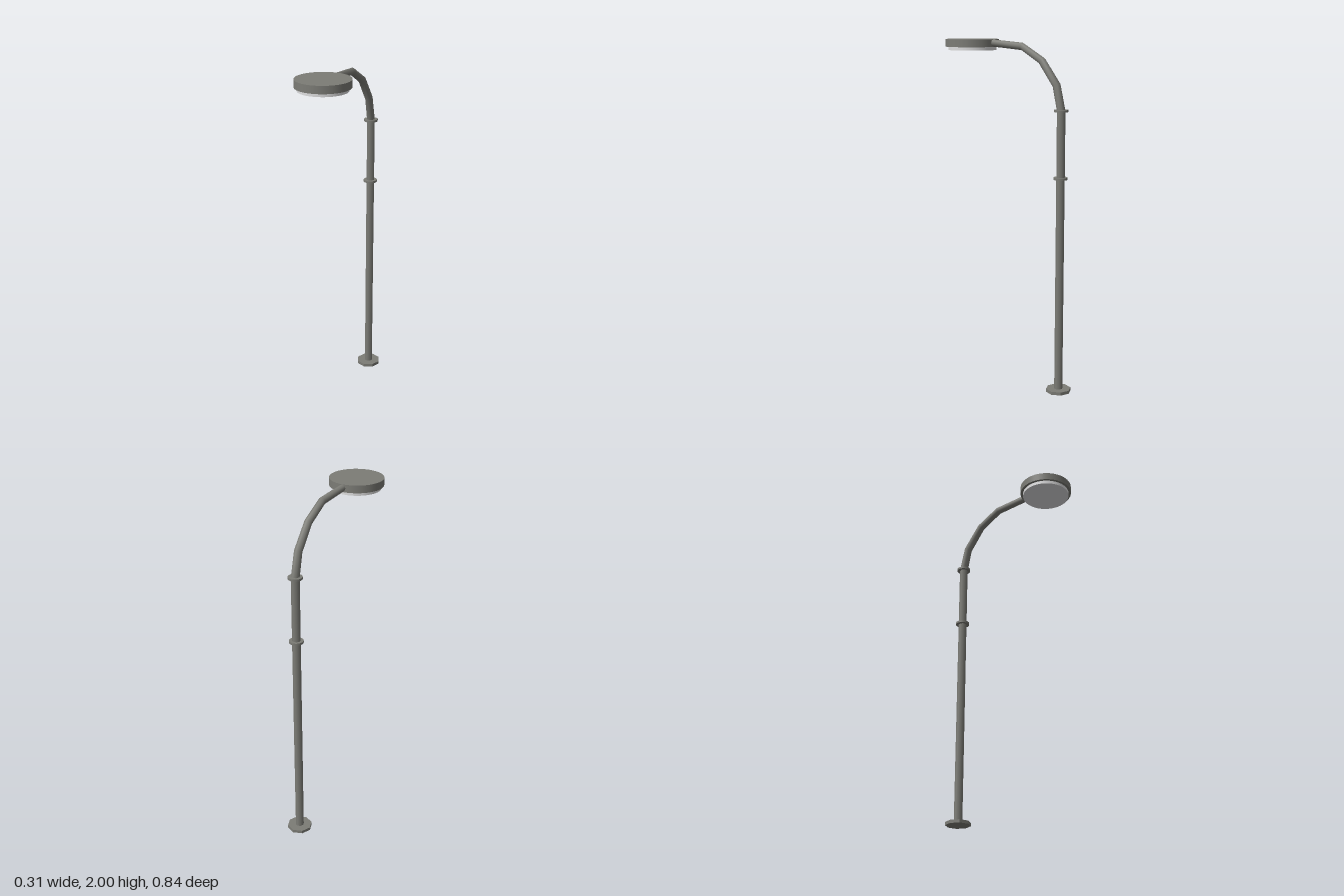
import * as THREE from 'three';
import { toCreasedNormals } from 'three/addons/utils/BufferGeometryUtils.js';

const POLE_Z = -0.348, HEAD_Z = 0.268;

export function createModel() {
  const lamp = new THREE.Group();
  lamp.name = 'streetLamp';

  const metal = new THREE.MeshStandardMaterial({ color: 0x7c7c76 });
  metal.name = 'grey metal';
  const glass = new THREE.MeshStandardMaterial({ color: 0xdededf });
  glass.name = 'pale diffuser';

  function add(name, geometry, material, x = 0, y = 0, z = 0) {
    const mesh = new THREE.Mesh(geometry, material);
    mesh.name = name;
    mesh.position.set(x, y, z);
    lamp.add(mesh);
  }

  // Upright disc or rod given by its bottom and top heights
  function rod(name, radius, y0, y1, z, sides, material = metal) {
    add(name, new THREE.CylinderGeometry(radius, radius, y1 - y0, sides), material, 0, (y0 + y1) / 2, z);
  }

  // Octagonal foot plate, pole and two collars
  add('basePlate', toCreasedNormals(new THREE.CylinderGeometry(0.072, 0.072, 0.018, 8), 0.5), metal, 0, 0.009, POLE_Z);
  rod('pole', 0.024, 0.01, 1.625, POLE_Z, 8);
  for (const y of [1.248, 1.622]) rod('collar', 0.04, y - 0.006, y + 0.006, POLE_Z, 24);

  // Bent arm: rings of a cylinder placed along a kinked, tapering path
  const path = [[POLE_Z, 1.62], [-0.316, 1.759], [-0.218, 1.889], [-0.085, 1.964], [0.14, 1.981]]
    .map(([z, y]) => new THREE.Vector3(0, y, z));
  const last = path.length - 1, sides = 8;
  const arm = new THREE.CylinderGeometry(1, 1, 1, sides, last, true);
  const pos = arm.attributes.position;
  const point = new THREE.Vector3();
  for (let i = 0; i < pos.count; i++) {
    const ring = last - Math.floor(i / (sides + 1)); // rows run from the top down
    const before = path[Math.max(ring - 1, 0)], after = path[Math.min(ring + 1, last)];
    const tangent = after.clone().sub(before).normalize();
    const bend = ring === 0 ? 0 : Math.atan2(tangent.z, tangent.y);
    const radius = 0.024 - 0.004 * ring / last;
    point.set(pos.getX(i) * radius, 0, pos.getZ(i) * radius);
    point.applyAxisAngle(new THREE.Vector3(1, 0, 0), bend).add(path[ring]);
    pos.setXYZ(i, point.x, point.y, point.z);
  }
  add('arm', toCreasedNormals(arm.toNonIndexed(), 1), metal);

  // Round lamp head with the diffuser below
  rod('lampHead', 0.153, 1.957, 2, HEAD_Z, 48);
  rod('diffuser', 0.138, 1.938, 1.96, HEAD_Z, 48, glass);

  return lamp;
}
